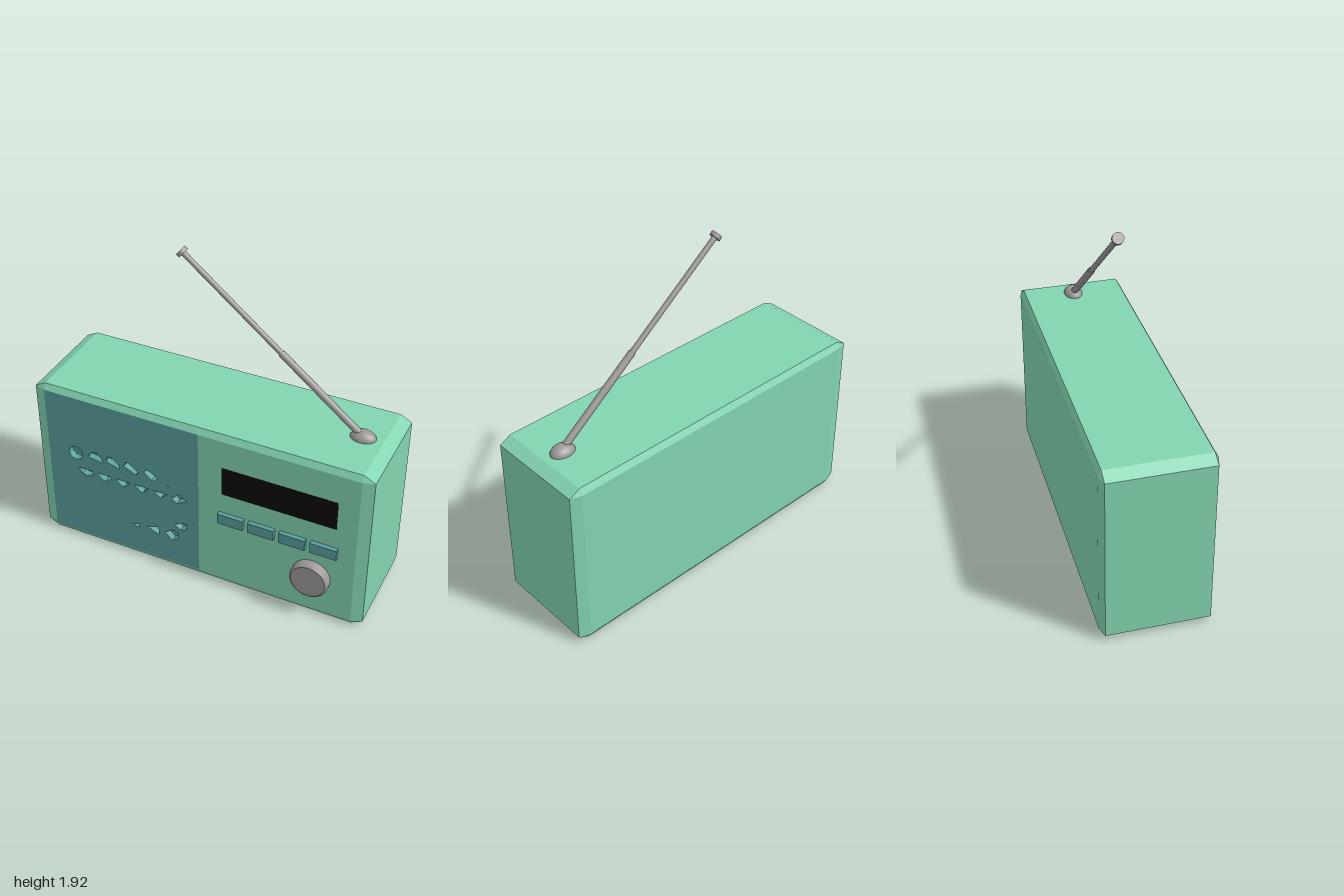
import * as THREE from 'three';
import { ConvexGeometry } from 'three/addons/geometries/ConvexGeometry.js';

const green = new THREE.MeshStandardMaterial({ color: 0x82d4b0, flatShading: true });
const teal = new THREE.MeshStandardMaterial({ color: 0x5a9e9e, flatShading: true });
const black = new THREE.MeshStandardMaterial({ color: 0x0b0b0b });
const grey = new THREE.MeshStandardMaterial({ color: 0x9c9898 });

const FRONT = 0.28, BACK = -0.33, HEIGHT = 1.045;

function add(parent, name, geometry, material, x = 0, y = 0, z = 0) {
  const mesh = new THREE.Mesh(geometry, material);
  mesh.name = name;
  mesh.position.set(x, y, z);
  parent.add(mesh);
  return mesh;
}

// Box with unequal chamfers, left open at the front
function chamferedShell(w, h, d, a, b, c) {
  const points = [];
  for (const sx of [-1, 1]) for (const sy of [-1, 1]) for (const sz of [-1, 1]) {
    const X = w / 2, Y = h / 2, Z = d / 2;
    points.push(
      new THREE.Vector3(sx * X, sy * (Y - b), sz * (Z - c)),
      new THREE.Vector3(sx * (X - a), sy * Y, sz * (Z - c)),
      new THREE.Vector3(sx * (X - a), sy * (Y - b), sz * Z));
  }
  const p = new ConvexGeometry(points).getAttribute('position');
  const kept = [];
  for (let i = 0; i < p.count; i += 3) {
    if ([0, 1, 2].every(k => p.getZ(i + k) > d / 2 - 1e-4)) continue;
    for (let k = 0; k < 3; k++) kept.push(p.getX(i + k), p.getY(i + k), p.getZ(i + k));
  }
  const geometry = new THREE.BufferGeometry();
  geometry.setAttribute('position', new THREE.Float32BufferAttribute(kept, 3));
  geometry.computeVertexNormals();
  return geometry;
}

// Irregular speaker openings
function speakerHoles() {
  const outlines = [
    [[-0.68, 0.625], [-0.655, 0.665], [-0.625, 0.67], [-0.59, 0.635], [-0.585, 0.61]],
    [[-0.565, 0.63], [-0.555, 0.665], [-0.53, 0.67], [-0.475, 0.625], [-0.48, 0.605]],
    [[-0.45, 0.635], [-0.435, 0.668], [-0.42, 0.668], [-0.355, 0.62], [-0.375, 0.6]],
    [[-0.325, 0.64], [-0.3, 0.66], [-0.235, 0.625], [-0.255, 0.595], [-0.275, 0.595]],
    [[-0.185, 0.598], [-0.165, 0.59], [-0.17, 0.584]],
    [[-0.15, 0.51], [-0.11, 0.55], [-0.055, 0.52], [-0.12, 0.485]],
    [[-0.14, 0.32], [-0.09, 0.35], [-0.06, 0.35], [-0.065, 0.31], [-0.1, 0.295]],
    [[-0.2, 0.24], [-0.15, 0.275], [-0.115, 0.265], [-0.115, 0.22], [-0.155, 0.195]],
    [[-0.32, 0.24], [-0.25, 0.26], [-0.235, 0.24], [-0.24, 0.205]],
    [[-0.415, 0.225], [-0.365, 0.24], [-0.37, 0.21]]];
  // row of flat-topped openings that narrow toward the right
  for (let i = 0; i < 5; i++) {
    const x = -0.75 + i * 0.121, w = 0.1 - i * 0.003;
    outlines.push([[x, 0.525], [x + w, 0.525], [x + w * (0.85 - i * 0.08), 0.49],
      [x + w * 0.55, 0.482], [x + w * (0.25 + i * 0.04), 0.49]]);
  }
  const holes = outlines.map(o => new THREE.Path(o.map(q => new THREE.Vector2(...q))));
  const round = new THREE.Path();
  round.absarc(-0.76, 0.625, 0.045, 0, Math.PI * 2, true);
  holes.push(round);
  return holes;
}

// Rod between two points
function rod(parent, name, from, to, r0, r1, sides = 16) {
  const dir = to.clone().sub(from);
  const mesh = add(parent, name, new THREE.CylinderGeometry(r1, r0, dir.length(), sides), grey);
  mesh.position.copy(from).add(to).multiplyScalar(0.5);
  mesh.quaternion.setFromUnitVectors(new THREE.Vector3(0, 1, 0), dir.normalize());
}

export function createModel() {
  const radio = new THREE.Group();
  radio.name = 'radio';

  // Casing
  add(radio, 'casing', chamferedShell(2, HEIGHT, FRONT - BACK, 0.065, 0.035, 0.02),
    green, 0, HEIGHT / 2, (FRONT + BACK) / 2);
  const split = 0.015, edge = 0.935, low = 0.035, high = HEIGHT - 0.035;
  const midY = (low + high) / 2, tall = high - low;
  add(radio, 'controlFace', new THREE.PlaneGeometry(edge - split, tall), green,
    (edge + split) / 2, midY, FRONT);

  // Speaker panel with openings and a recessed backing
  const panel = new THREE.Shape([[-edge, low], [split, low], [split, high], [-edge, high]]
    .map(q => new THREE.Vector2(...q)));
  panel.holes = speakerHoles();
  const depth = 0.04;
  add(radio, 'speakerPanel',
    new THREE.ExtrudeGeometry(panel, { depth, bevelEnabled: false, curveSegments: 6 }),
    teal, 0, 0, FRONT - depth);
  add(radio, 'speakerBacking', new THREE.PlaneGeometry(split + edge, tall), teal,
    (split - edge) / 2, midY, FRONT - depth - 0.002);

  // Display and buttons
  add(radio, 'display', new THREE.BoxGeometry(0.665, 0.18, 0.01), black, 0.487, 0.744, FRONT - 0.003);
  for (let i = 0; i < 4; i++) {
    add(radio, 'button' + (i + 1), new THREE.BoxGeometry(0.152, 0.066, 0.045), teal,
      0.216 + i * 0.1815, 0.493, FRONT + 0.003);
  }

  // Tuning knob
  const face = new THREE.CircleGeometry(0.1, 40);
  add(radio, 'knobFace', face, grey, 0.695, 0.272, 0.335);
  const knob = add(radio, 'knobRim', new THREE.LatheGeometry(
    [[0.111, -0.01], [0.111, 0.04], [0.108, 0.05], [0.1, 0.055]]
      .map(q => new THREE.Vector2(...q)), 40), grey, 0.695, 0.272, FRONT);
  knob.rotation.x = Math.PI / 2;

  // Antenna
  const antenna = new THREE.Group();
  antenna.name = 'antenna';
  radio.add(antenna);
  const dome = add(antenna, 'antennaBase',
    new THREE.SphereGeometry(1, 28, 10, 0, Math.PI * 2, 0, Math.PI / 2), grey, 0.822, HEIGHT - 0.002, -0.032);
  dome.scale.set(0.072, 0.046, 0.053);
  const foot = new THREE.Vector3(0.82, 1.055, -0.028);
  const tip = new THREE.Vector3(-0.23, 1.895, -0.038);
  const at = t => foot.clone().lerp(tip, t);
  rod(antenna, 'lowerRod', foot, at(0.45), 0.02, 0.02);
  rod(antenna, 'upperRod', at(0.44), at(0.99), 0.015, 0.015);
  rod(antenna, 'antennaTip', at(0.983), at(1), 0.031, 0.031, 20);

  return radio;
}
